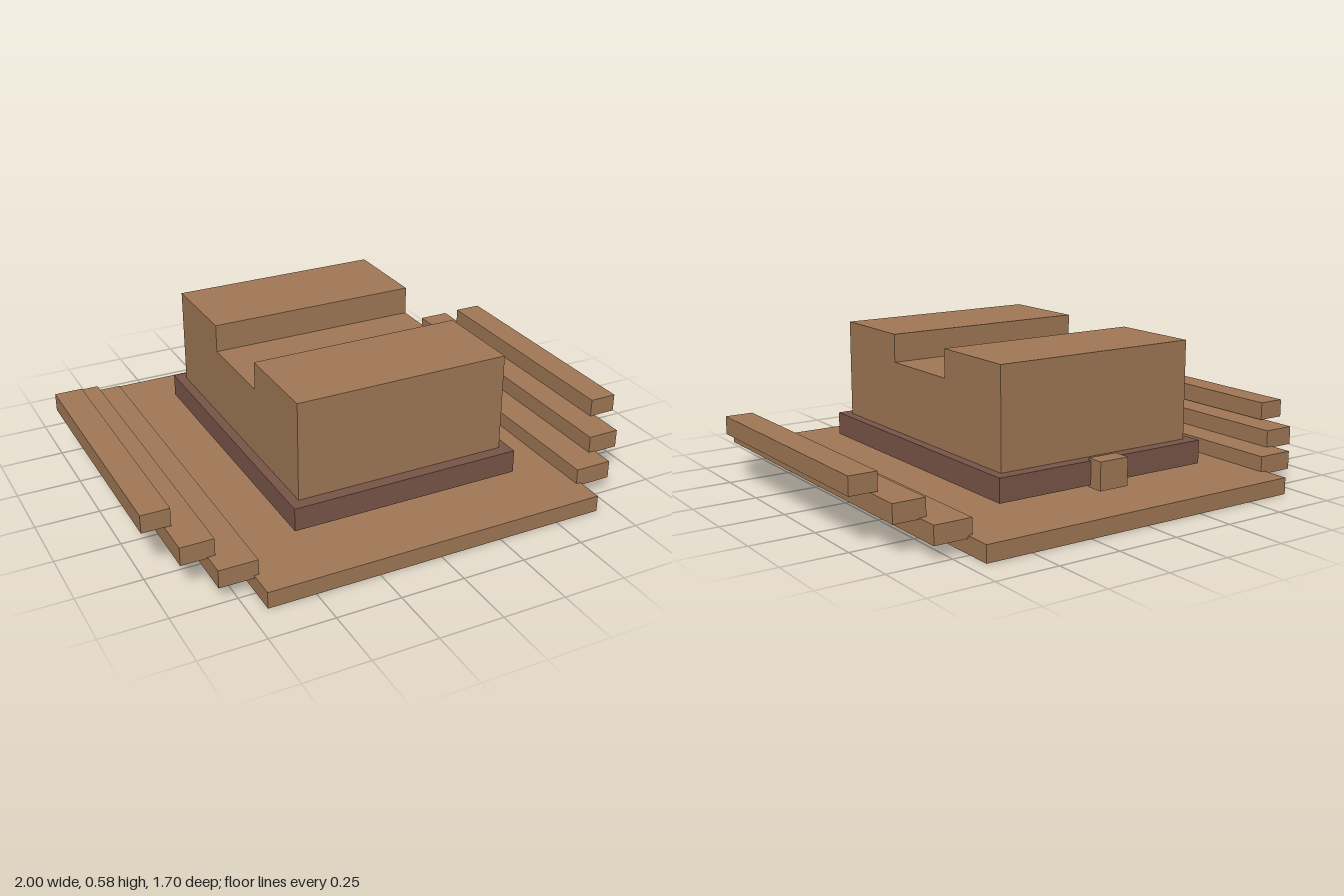
import * as THREE from 'three';

export function createModel() {
  const group = new THREE.Group();
  const wood = new THREE.MeshStandardMaterial({ color: 0xa07855 });
  wood.name = 'wood brown';
  const dark = new THREE.MeshStandardMaterial({ color: 0x795548 });
  dark.name = 'dark brown';

  // Box given by its limits on each axis
  function box(name, [x0, x1], [y0, y1], [z0, z1], material) {
    const mesh = new THREE.Mesh(new THREE.BoxGeometry(x1 - x0, y1 - y0, z1 - z0), material);
    mesh.position.set((x0 + x1) / 2, (y0 + y1) / 2, (z0 + z1) / 2);
    mesh.name = name;
    group.add(mesh);
  }

  // Floor, floating plinth and the small latch behind it
  box('base', [-0.683, 0.683], [0, 0.065], [-0.85, 0.85], wood);
  box('plinth', [-0.463, 0.463], [0.1, 0.192], [-0.601, 0.601], dark);
  box('latch', [-0.063, 0.063], [0.09, 0.2], [-0.658, -0.587], wood);

  // Stepped slats rising on both sides: inner x, outer x, bottom, top, half length
  const slats = [
    [0.665, 0.814, 0.054, 0.125, 0.739],
    [0.786, 0.914, 0.12, 0.192, 0.647],
    [0.89, 1, 0.195, 0.266, 0.509],
  ];
  slats.forEach(([inner, outer, y0, y1, z], i) => {
    box(`leftSlat${i + 1}`, [inner, outer], [y0, y1], [-z, z], wood);
    box(`rightSlat${i + 1}`, [-outer, -inner], [y0, y1], [-z, z], wood);
  });

  // Main block: side profile with a notch across the top, extruded along x
  const h = 0.553, n = 0.184;
  const profile = new THREE.Shape([
    [-h, 0.192], [h, 0.192], [h, 0.58], [n, 0.58],
    [n, 0.469], [-n, 0.469], [-n, 0.58], [-h, 0.58],
  ].map(([x, y]) => new THREE.Vector2(x, y)));
  const geometry = new THREE.ExtrudeGeometry(profile, { depth: 0.85, bevelEnabled: false });
  geometry.translate(0, 0, -0.425).rotateY(Math.PI / 2);
  const block = new THREE.Mesh(geometry, wood);
  block.name = 'notchedBlock';
  group.add(block);

  return group;
}
